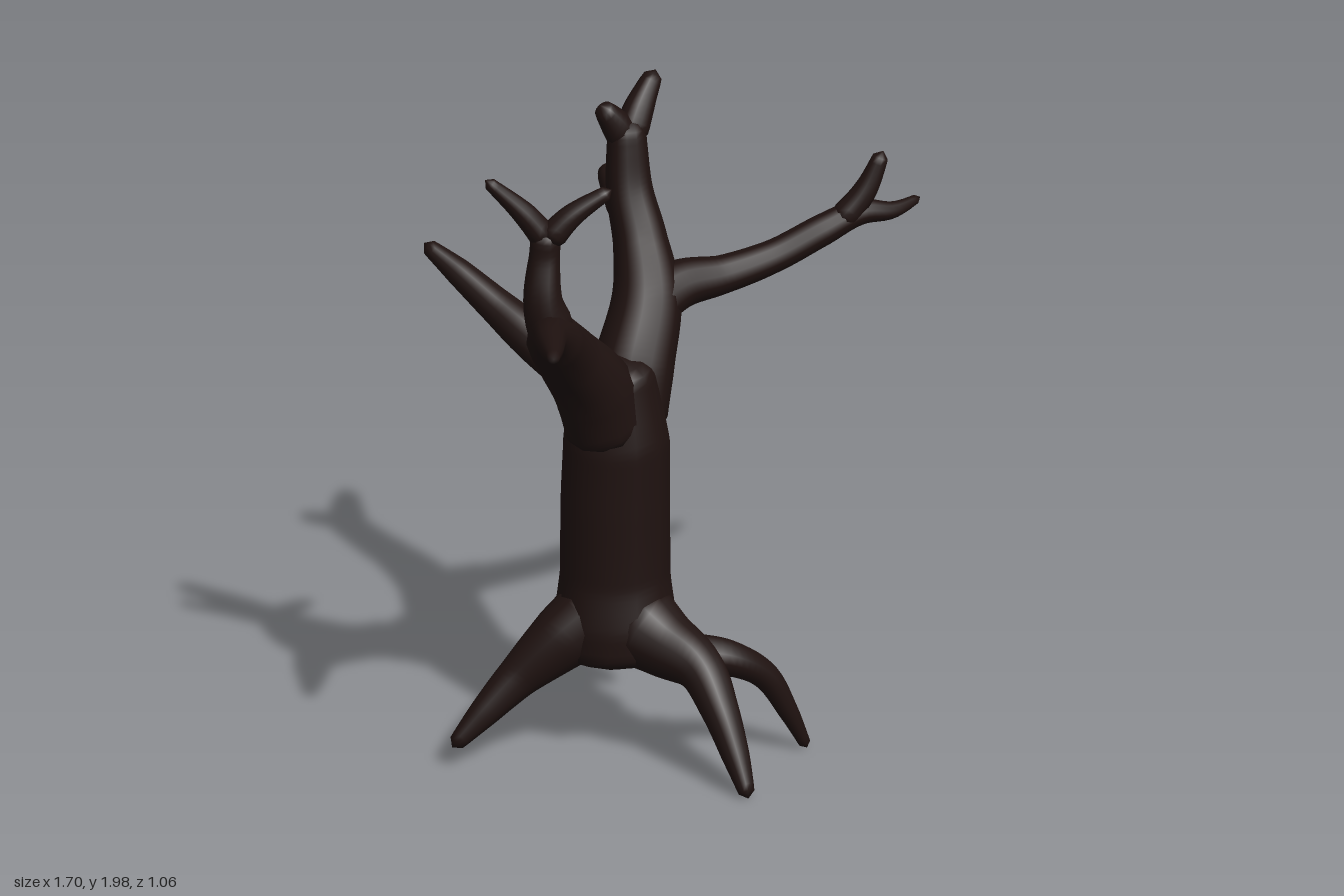
import * as THREE from 'three';
import { mergeVertices } from 'three/addons/utils/BufferGeometryUtils.js';

const SIDES = 12;
const bark = new THREE.MeshStandardMaterial({ color: 0x1f1210 });

// Tapered limb with rounded ends; each point is [x, y, z, radius]
function limb(name, points) {
  const curve = new THREE.CatmullRomCurve3(points.map(([x, y, z]) => new THREE.Vector3(x, y, z)));
  const length = curve.getLength();
  const rings = Math.max(8, Math.round(length / 0.02));
  const geometry = new THREE.TubeGeometry(curve, rings, 1, SIDES, false);
  const pos = geometry.attributes.position;
  const v = new THREE.Vector3();

  for (let i = 0; i <= rings; i++) {
    const u = i / rings;
    const centre = curve.getPointAt(u);
    // radius along the limb
    const s = curve.getUtoTmapping(u) * (points.length - 1);
    const k = Math.min(Math.floor(s), points.length - 2);
    let r = THREE.MathUtils.lerp(points[k][3], points[k + 1][3], s - k);
    // round off both ends
    const toEnd = Math.min(u, 1 - u) * length;
    const d = 1 - Math.min(1, toEnd / Math.min(r, 0.06));
    r *= Math.sqrt(1 - d * d);
    for (let j = 0; j <= SIDES; j++) {
      const n = i * (SIDES + 1) + j;
      v.fromBufferAttribute(pos, n).sub(centre).multiplyScalar(r).add(centre);
      pos.setXYZ(n, v.x, v.y, v.z);
    }
  }
  geometry.deleteAttribute('uv');
  geometry.deleteAttribute('normal');
  const smooth = mergeVertices(geometry, 1e-5);
  smooth.computeVertexNormals();
  const mesh = new THREE.Mesh(smooth, bark);
  mesh.name = name;
  return mesh;
}

function group(name, limbs) {
  const g = new THREE.Group();
  g.name = name;
  for (const [part, points] of Object.entries(limbs)) g.add(limb(part, points));
  return g;
}

export function createModel() {
  const tree = new THREE.Group();
  tree.name = 'bareTree';

  tree.add(limb('trunk', [
    [-0.14, 0.285, -0.04, 0.18], [-0.14, 0.42, -0.045, 0.185], [-0.135, 0.56, -0.05, 0.166],
    [-0.135, 0.8, -0.05, 0.164], [-0.135, 1.0, -0.045, 0.16], [-0.14, 1.14, -0.045, 0.135],
    [-0.15, 1.27, -0.045, 0.11]]));

  // Roots spread out and downward from the trunk foot
  tree.add(group('roots', {
    rightRoot: [[-0.18, 0.47, -0.06, 0.12], [-0.29, 0.38, -0.13, 0.1], [-0.4, 0.27, -0.21, 0.065],
      [-0.5, 0.17, -0.265, 0.045], [-0.59, 0.08, -0.31, 0.022]],
    frontRoot: [[-0.14, 0.43, 0.02, 0.14], [-0.14, 0.385, 0.14, 0.105], [-0.14, 0.34, 0.27, 0.075],
      [-0.17, 0.24, 0.37, 0.058], [-0.2, 0.12, 0.455, 0.042], [-0.23, 0.015, 0.525, 0.022]],
    frontLeftRoot: [[-0.13, 0.36, 0.21, 0.07], [-0.04, 0.345, 0.3, 0.055], [0.06, 0.27, 0.36, 0.042],
      [0.125, 0.14, 0.4, 0.03], [0.175, 0.015, 0.43, 0.016]],
    backLeftRoot: [[-0.1, 0.42, -0.06, 0.13], [0.0, 0.405, -0.14, 0.105], [0.08, 0.405, -0.21, 0.09],
      [0.155, 0.36, -0.3, 0.083], [0.205, 0.25, -0.385, 0.07], [0.235, 0.155, -0.45, 0.055],
      [0.25, 0.105, -0.51, 0.033]],
    backLeftRootStub: [[0.18, 0.3, -0.35, 0.065], [0.19, 0.18, -0.31, 0.048], [0.19, 0.07, -0.285, 0.028]],
  }));

  // Limbs on the -x side
  tree.add(group('rightBranches', {
    rightMainBranch: [[-0.17, 1.02, -0.045, 0.13], [-0.25, 1.2, -0.045, 0.122], [-0.39, 1.355, -0.03, 0.098],
      [-0.52, 1.465, 0.02, 0.085], [-0.63, 1.53, 0.09, 0.055], [-0.75, 1.56, 0.19, 0.036],
      [-0.85, 1.585, 0.275, 0.016]],
    rightUpperBranch: [[-0.52, 1.47, 0.02, 0.08], [-0.555, 1.6, 0.005, 0.06], [-0.535, 1.74, -0.005, 0.046],
      [-0.53, 1.83, 0.0, 0.046]],
    rightOuterTwig: [[-0.525, 1.78, 0.0, 0.045], [-0.57, 1.87, -0.05, 0.037], [-0.655, 1.99, -0.135, 0.017]],
    rightInnerTwig: [[-0.535, 1.78, 0.0, 0.045], [-0.48, 1.86, 0.05, 0.036], [-0.39, 1.94, 0.135, 0.02]],
    rightBackBranch: [[-0.35, 1.31, -0.04, 0.09], [-0.4, 1.39, -0.16, 0.07], [-0.415, 1.46, -0.28, 0.055],
      [-0.43, 1.54, -0.41, 0.042], [-0.45, 1.61, -0.525, 0.022]],
  }));

  // Limbs on the +x side
  tree.add(group('leftBranches', {
    leftMainBranch: [[-0.11, 1.02, -0.045, 0.13], [-0.04, 1.2, -0.055, 0.122], [0.06, 1.37, -0.085, 0.105],
      [0.12, 1.52, -0.155, 0.082], [0.145, 1.66, -0.215, 0.07], [0.165, 1.8, -0.24, 0.06],
      [0.175, 1.88, -0.25, 0.055]],
    leftInnerTwig: [[0.17, 1.8, -0.245, 0.055], [0.135, 1.87, -0.265, 0.045], [0.09, 1.935, -0.285, 0.027]],
    leftOuterTwig: [[0.17, 1.8, -0.24, 0.055], [0.23, 1.89, -0.245, 0.046], [0.31, 1.985, -0.245, 0.026]],
    leftBackStub: [[0.14, 1.57, -0.2, 0.065], [0.19, 1.62, -0.29, 0.052], [0.24, 1.665, -0.38, 0.032]],
    leftSideBranch: [[0.03, 1.35, -0.075, 0.09], [0.16, 1.395, -0.04, 0.075], [0.28, 1.405, 0.03, 0.058],
      [0.42, 1.44, 0.115, 0.05], [0.55, 1.5, 0.195, 0.048], [0.65, 1.54, 0.255, 0.04],
      [0.74, 1.53, 0.31, 0.026], [0.85, 1.54, 0.33, 0.012]],
    leftSideTwig: [[0.59, 1.51, 0.22, 0.045], [0.66, 1.61, 0.27, 0.036], [0.71, 1.73, 0.3, 0.022]],
  }));

  return tree;
}
